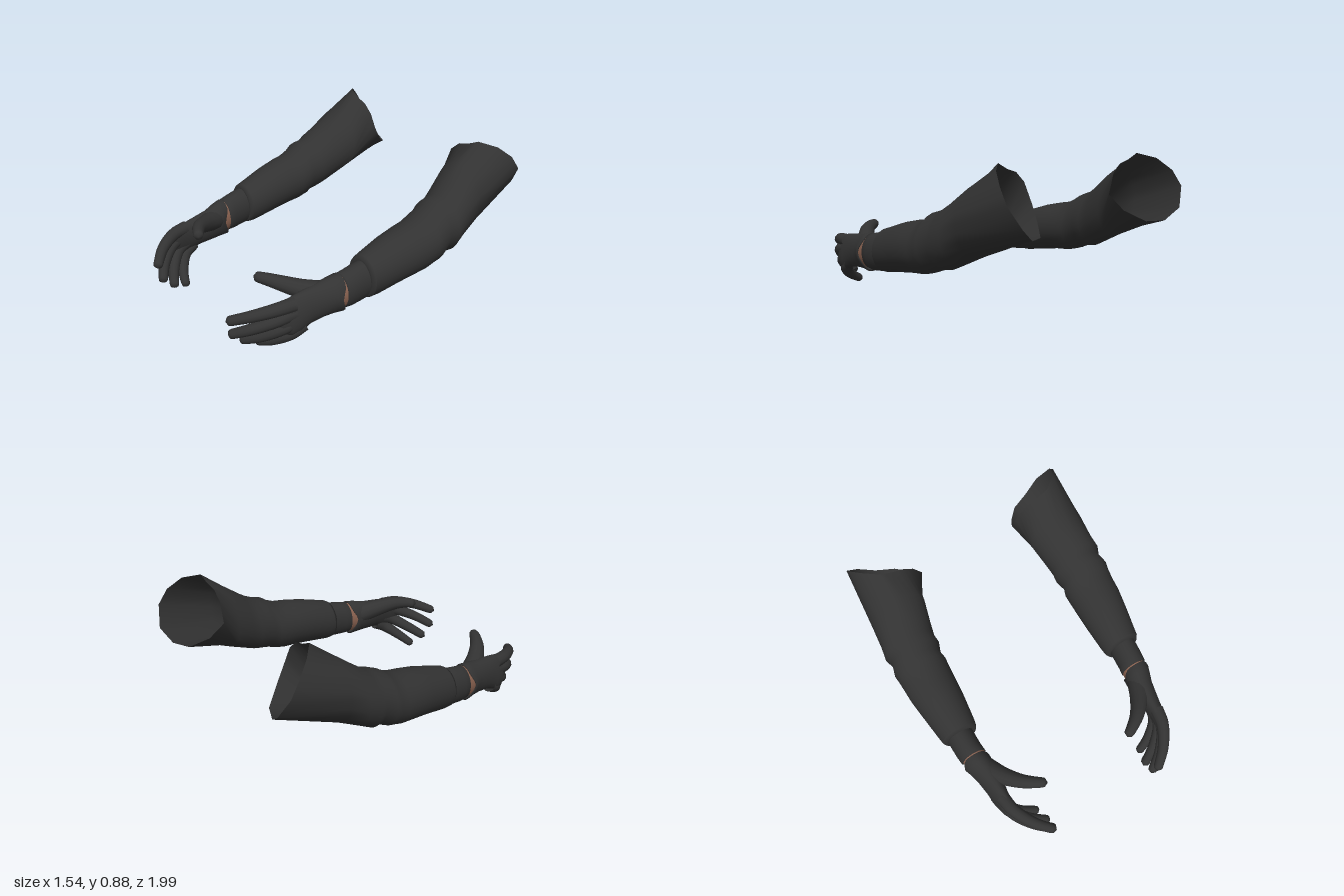
import * as THREE from 'three';
import { mergeVertices } from 'three/addons/utils/BufferGeometryUtils.js';

const SIDES = 24;

// Oval cross-section at z, starting at the top and running outwards; tilt leans it sideways
function oval(z, cx, cy, rx, ry, tilt = 0, notch = 0) {
  return Array.from({ length: SIDES }, (_, j) => {
    const a = (j / SIDES) * Math.PI * 2, s = Math.sin(a), c = Math.cos(a);
    return new THREE.Vector3(cx + rx * s - tilt * ry * c, cy + ry * c, z + notch * s ** 8);
  });
}

// Oval given by its extents
const span = (z, x0, x1, y0, y1) =>
  oval(z, (x0 + x1) / 2, (y0 + y1) / 2, (x1 - x0) / 2, (y1 - y0) / 2);

// Skin over a list of cross-sections
function loft(rings) {
  const index = [];
  for (let i = 0; i < rings.length - 1; i++) {
    for (let j = 0; j < SIDES; j++) {
      const k = (j + 1) % SIDES, p = i * SIDES, q = p + SIDES;
      index.push(p + j, q + j, p + k, p + k, q + j, q + k);
    }
  }
  const geo = new THREE.BufferGeometry().setFromPoints(rings.flat());
  geo.setIndex(index);
  return geo;
}

// Tapered, round-ended tube for fingers
function digit(points, r0, r1) {
  const curve = new THREE.CatmullRomCurve3(points.map((p) => new THREE.Vector3(...p)));
  const segs = 24, radial = 12, length = curve.getLength();
  const geo = new THREE.TubeGeometry(curve, segs, 1, radial);
  const pos = geo.attributes.position, v = new THREE.Vector3();
  for (let i = 0; i <= segs; i++) {
    // bunch the last rings towards the tip
    const t = i / segs, centre = curve.getPointAt(t);
    const toTip = Math.min(1, ((1 - t) * length) / r1);
    const r = THREE.MathUtils.lerp(r0, r1, t) * Math.sqrt(1 - (1 - toTip) ** 2);
    for (let j = 0; j <= radial; j++) {
      const n = i * (radial + 1) + j;
      v.fromBufferAttribute(pos, n).sub(centre).multiplyScalar(r).add(centre);
      pos.setXYZ(n, v.x, v.y, v.z);
    }
  }
  geo.deleteAttribute('uv');
  geo.deleteAttribute('normal');
  return mergeVertices(geo, 1e-5);
}

// Slanted shoulder opening
const rimPoints = [
  [0.57, 0.89, -0.74], [0.66, 0.86, -0.82], [0.71, 0.79, -0.9], [0.72, 0.7, -0.96],
  [0.65, 0.58, -1.0], [0.55, 0.51, -0.97], [0.44, 0.51, -0.92], [0.36, 0.57, -0.82],
  [0.32, 0.66, -0.74], [0.37, 0.78, -0.73], [0.43, 0.835, -0.73], [0.5, 0.855, -0.735],
].map((p) => new THREE.Vector3(...p));

function shoulderRim() {
  return Array.from({ length: SIDES }, (_, j) => {
    const t = (j / SIDES) * rimPoints.length, i = Math.floor(t);
    return rimPoints[i].clone().lerp(rimPoints[(i + 1) % rimPoints.length], t - i);
  });
}

function buildArm(side, mats) {
  const arm = new THREE.Group();
  arm.name = side > 0 ? 'leftArm' : 'rightArm';

  const add = (name, geo, mat) => {
    if (side < 0) {
      geo.scale(-1, 1, 1);
      const ix = geo.index.array;
      for (let i = 0; i < ix.length; i += 3) [ix[i], ix[i + 1]] = [ix[i + 1], ix[i]];
    }
    geo.computeVertexNormals();
    const mesh = new THREE.Mesh(geo, mat);
    mesh.name = name;
    arm.add(mesh);
  };

  // Sleeve with folds around the elbow
  add('sleeve', loft([
    shoulderRim(),
    span(-0.6, 0.385, 0.745, 0.375, 0.78),
    span(-0.48, 0.415, 0.755, 0.32, 0.69),
    span(-0.41, 0.43, 0.768, 0.288, 0.642),
    span(-0.36, 0.425, 0.748, 0.285, 0.622),
    span(-0.3, 0.447, 0.766, 0.262, 0.602),
    span(-0.26, 0.436, 0.76, 0.25, 0.574),
    span(-0.2, 0.44, 0.756, 0.235, 0.548),
    span(-0.12, 0.443, 0.752, 0.23, 0.535),
    span(0, 0.45, 0.735, 0.215, 0.51),
    span(0.15, 0.465, 0.712, 0.192, 0.465),
    span(0.19, 0.472, 0.705, 0.192, 0.453),
  ]), mats.sleeve);
  add('sleeveHem', loft([
    span(0.19, 0.472, 0.705, 0.192, 0.453),
    span(0.21, 0.485, 0.69, 0.2, 0.44),
    span(0.2, 0.51, 0.66, 0.22, 0.4),
  ]), mats.sleeve);

  // Inner cuff, bare wrist and glove opening
  add('innerCuff', loft([
    span(0.17, 0.505, 0.675, 0.195, 0.43),
    span(0.25, 0.505, 0.673, 0.185, 0.423),
    span(0.31, 0.503, 0.67, 0.18, 0.41),
    span(0.352, 0.498, 0.665, 0.183, 0.4),
    span(0.356, 0.51, 0.653, 0.193, 0.388),
  ]), mats.sleeve);
  add('wrist', loft([
    span(0.33, 0.505, 0.658, 0.188, 0.393),
    span(0.44, 0.497, 0.64, 0.18, 0.378),
  ]), mats.skin);

  // Glove palm, closing behind the finger bases
  add('glovePalm', loft([
    oval(0.368, 0.578, 0.284, 0.078, 0.108, 0, 0.035),
    oval(0.366, 0.578, 0.284, 0.088, 0.12, 0, 0.035),
    oval(0.42, 0.57, 0.282, 0.082, 0.113, 0, 0.015),
    oval(0.49, 0.559, 0.274, 0.074, 0.104, 0.05),
    oval(0.58, 0.556, 0.266, 0.06, 0.104, 0.1),
    oval(0.65, 0.558, 0.25, 0.049, 0.112, 0.15),
    oval(0.7, 0.552, 0.243, 0.042, 0.108, 0.15),
    oval(0.75, 0.538, 0.25, 0.032, 0.088, 0.12),
    oval(0.775, 0.525, 0.255, 0.012, 0.05, 0.1),
    oval(0.778, 0.524, 0.255, 0, 0),
  ]), mats.glove);

  // Fingers: base, bend and tip
  const fingers = {
    indexFinger: [[0.553, 0.315, 0.66], [0.533, 0.312, 0.76], [0.465, 0.285, 0.88], [0.36, 0.24, 0.985]],
    middleFinger: [[0.558, 0.265, 0.66], [0.535, 0.245, 0.77], [0.455, 0.195, 0.88], [0.345, 0.135, 0.965]],
    ringFinger: [[0.564, 0.215, 0.64], [0.545, 0.185, 0.73], [0.46, 0.125, 0.82], [0.345, 0.068, 0.89]],
    littleFinger: [[0.57, 0.175, 0.61], [0.552, 0.135, 0.68], [0.47, 0.075, 0.75], [0.368, 0.025, 0.795]],
  };
  for (const [name, path] of Object.entries(fingers)) {
    add(name, digit(path, 0.043, name === 'littleFinger' ? 0.025 : 0.028), mats.glove);
  }
  add('thumb', digit(
    [[0.55, 0.3, 0.45], [0.49, 0.335, 0.55], [0.41, 0.375, 0.645], [0.345, 0.39, 0.695], [0.28, 0.395, 0.735]],
    0.068, 0.028), mats.glove);

  return arm;
}

export function createModel() {
  const make = (name, color, side = THREE.FrontSide) => {
    const m = new THREE.MeshStandardMaterial({ color, side });
    m.name = name;
    return m;
  };
  const mats = {
    sleeve: make('charcoal cloth', 0x323232, THREE.DoubleSide),
    glove: make('charcoal glove', 0x333333, THREE.DoubleSide),
    skin: make('brown skin', 0x8a6250),
  };
  const model = new THREE.Group();
  model.name = 'glovedArms';
  model.add(buildArm(1, mats), buildArm(-1, mats));
  return model;
}
